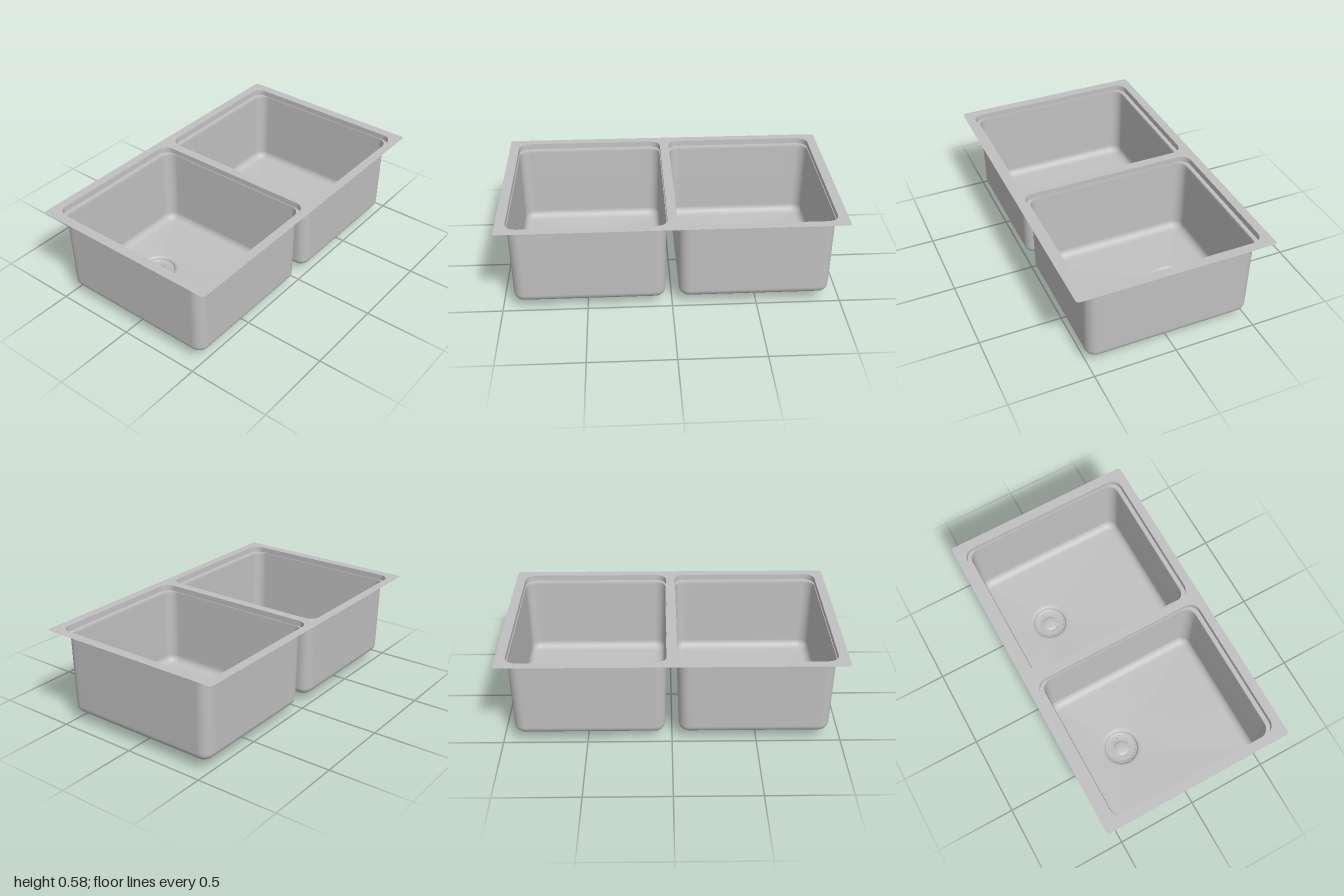
import * as THREE from 'three';
import { mergeGeometries } from 'three/addons/utils/BufferGeometryUtils.js';

const TOP = 0.58, DRAIN_X = 0.485, DRAIN_Z = -0.216;
const steel = new THREE.MeshStandardMaterial({ color: 0xc0c0c0, side: THREE.DoubleSide });
steel.name = 'brushed steel';

function add(parent, name, geometry) {
  const mesh = new THREE.Mesh(geometry, steel);
  mesh.name = name;
  parent.add(mesh);
  return mesh;
}

// Horizontal rounded rectangle: half sizes, corner radius, height, centre x and z
function roundedRing(hx, hz, r, y, cx = 0, cz = 0) {
  const corners = [], pts = [], arc = 8, edge = 14;
  for (let q = 0; q < 4; q++) {
    const sx = q === 0 || q === 3 ? 1 : -1, sz = q < 2 ? 1 : -1;
    for (let k = 0; k <= arc; k++) {
      const a = (q + k / arc) * Math.PI / 2;
      corners.push(new THREE.Vector3(
        cx + sx * (hx - r) + r * Math.cos(a), y, cz + sz * (hz - r) + r * Math.sin(a)));
    }
  }
  // Subdivide the straight sides between corners
  corners.forEach((p, i) => {
    pts.push(p);
    if (i % (arc + 1) === arc) {
      const next = corners[(i + 1) % corners.length];
      for (let e = 1; e < edge; e++) pts.push(p.clone().lerp(next, e / edge));
    }
  });
  return pts;
}

// Skin closed rings running from top to bottom, facing inward
function loft(rings) {
  const n = rings[0].length, index = [];
  for (let i = 0; i < rings.length - 1; i++) {
    for (let j = 0; j < n; j++) {
      const a = i * n + j, b = i * n + (j + 1) % n;
      index.push(a, a + n, b, b, a + n, b + n);
    }
  }
  const g = new THREE.BufferGeometry().setFromPoints(rings.flat());
  g.setIndex(index);
  g.computeVertexNormals();
  return g;
}

function createBasin() {
  const basin = new THREE.Group();

  // Recessed lip and the narrow ledge at front and back
  const lipTop = roundedRing(0.457, 0.54, 0.065, TOP);
  const lipBottom = roundedRing(0.457, 0.538, 0.065, 0.545);
  const wallTop = roundedRing(0.453, 0.513, 0.065, 0.545);
  add(basin, 'recessedLip', loft([lipTop, lipBottom]));
  add(basin, 'ledge', loft([lipBottom, wallTop]));

  // Tapered walls, rounded into the floor
  const rings = [wallTop, roundedRing(0.452, 0.509, 0.065, 0.53)];
  const fillet = 0.048;
  for (let k = 0; k <= 7; k++) {
    const a = k / 7 * Math.PI / 2, inset = fillet * (1 - Math.cos(a));
    rings.push(roundedRing(0.446 - inset, 0.503 - inset, 0.065 - inset,
      0.057 + fillet * (1 - Math.sin(a)), 0, 0.002));
  }
  add(basin, 'walls', loft(rings));

  // Floor falling gently to the drain opening
  const edge = rings[rings.length - 1];
  const hole = edge.map((p) => {
    const a = Math.atan2(p.z - DRAIN_Z, p.x);
    return new THREE.Vector3(0.125 * Math.cos(a), 0.042, DRAIN_Z + 0.125 * Math.sin(a));
  });
  const middle = edge.map((p, i) => p.clone().lerp(hole[i], 0.5));
  add(basin, 'floor', loft([edge, middle, hole]));

  // Drain cup and strainer
  const drain = new THREE.Group();
  drain.name = 'drain';
  drain.position.z = DRAIN_Z;
  basin.add(drain);
  const cup = [[0.126, 0.042], [0.115, 0.041], [0.107, 0.037], [0.102, 0.031], [0.1, 0.024], [0.099, 0.001]];
  add(drain, 'drainCup', new THREE.LatheGeometry(cup.map(([x, y]) => new THREE.Vector2(x, y)), 64));
  add(drain, 'drainBase', new THREE.CylinderGeometry(0.099, 0.099, 0.004, 64)).position.y = 0.002;
  const plate = [[0.099, 0.024], [0.092, 0.024], [0.087, 0.016], [0.05, 0.012], [0.046, 0.018],
    [0.037, 0.018], [0.034, 0.024], [0, 0.024]];
  add(drain, 'strainer', new THREE.LatheGeometry(plate.map(([x, y]) => new THREE.Vector2(x, y)), 64));
  const ribs = [];
  for (let i = 0; i < 32; i++) {
    const rib = new THREE.BoxGeometry(0.04, 0.006, 0.006);
    rib.translate(0.068, 0.016, 0);
    rib.rotateY(i / 32 * Math.PI * 2);
    ribs.push(rib);
  }
  add(drain, 'strainerRibs', mergeGeometries(ribs));
  return basin;
}

export function createModel() {
  const model = new THREE.Group();
  model.name = 'doubleSink';

  // Flat rim with two openings
  const outline = (ring, Type) => new Type(ring.map((p) => new THREE.Vector2(p.x, p.z)));
  const rim = outline(roundedRing(1, 0.594, 0.02, 0), THREE.Shape);
  for (const side of [-1, 1]) {
    rim.holes.push(outline(roundedRing(0.457, 0.54, 0.065, 0, side * DRAIN_X), THREE.Path));
    const basin = createBasin();
    basin.name = side > 0 ? 'leftBasin' : 'rightBasin';
    basin.position.x = side * DRAIN_X;
    model.add(basin);
  }
  const rimGeometry = new THREE.ShapeGeometry(rim);
  rimGeometry.rotateX(-Math.PI / 2);
  add(model, 'rim', rimGeometry).position.y = TOP;
  return model;
}
